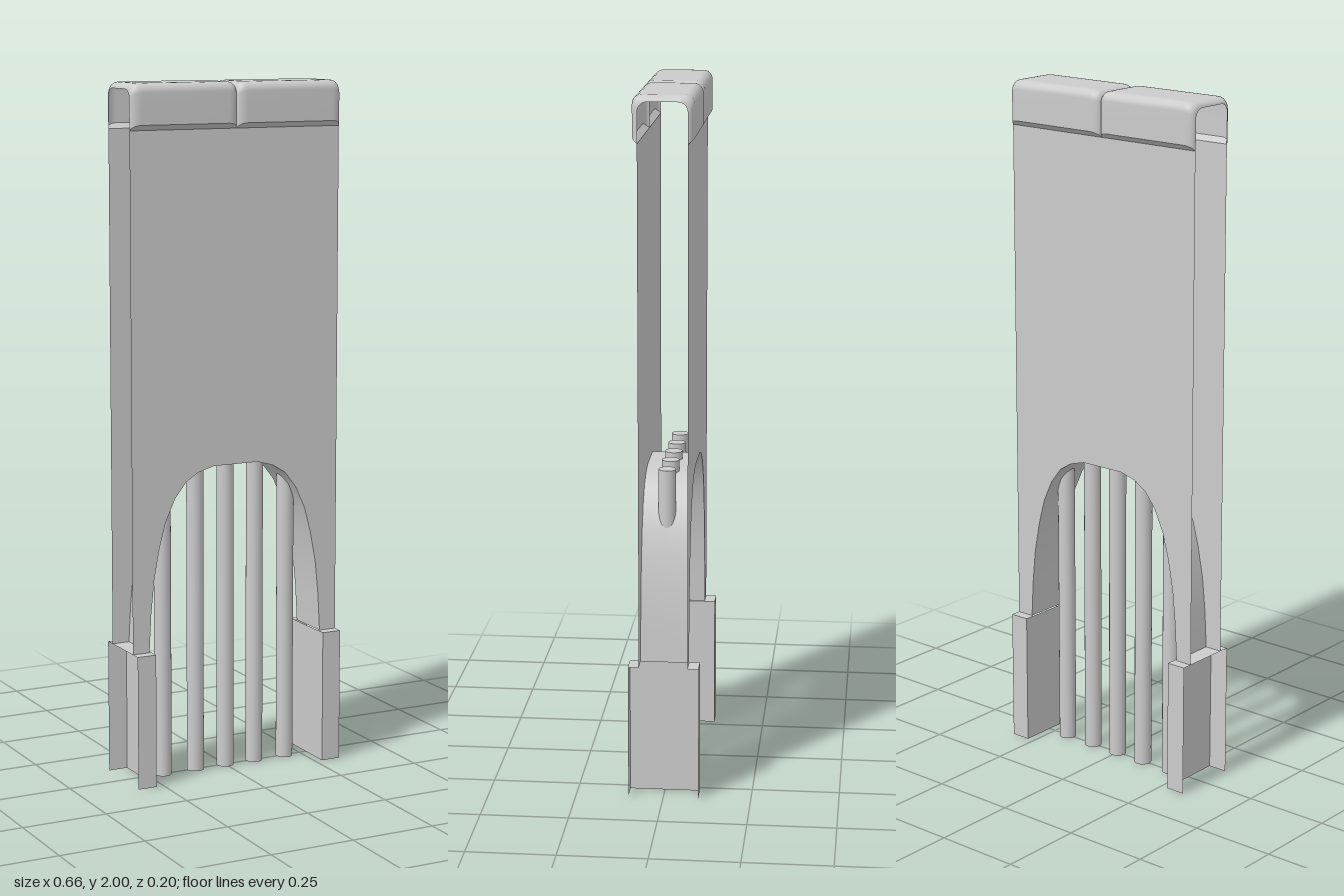
import * as THREE from 'three';

const material = new THREE.MeshStandardMaterial({ color: 0xcccccc, side: THREE.DoubleSide });

// Sheet stretched over equally long rows of [x, y, z] points
function loft(rows) {
  const n = rows[0].length;
  const index = [];
  for (let i = 0; i < rows.length - 1; i++) {
    for (let j = 0; j < n - 1; j++) {
      const a = i * n + j, b = a + n;
      index.push(a, b, a + 1, b, b + 1, a + 1);
    }
  }
  const geometry = new THREE.BufferGeometry();
  geometry.setAttribute('position', new THREE.Float32BufferAttribute(rows.flat(2), 3));
  geometry.setIndex(index);
  geometry.computeVertexNormals();
  return geometry;
}

export function createModel() {
  const model = new THREE.Group();
  const add = (name, geometry, parent = model) => {
    const mesh = new THREE.Mesh(geometry, material);
    mesh.name = name;
    parent.add(mesh);
    return mesh;
  };

  const W = 0.33, D = 0.069, legTop = 0.39, legIn = 0.272, legD = 0.1, panelTop = 1.87;

  // Arch outline, from the +x foot over the crown to the -x foot
  const half = [[0.278, legTop], [0.272, 0.5], [0.262, 0.6], [0.245, 0.69], [0.225, 0.765],
    [0.195, 0.83], [0.16, 0.875], [0.12, 0.9], [0.07, 0.914]];
  const arch = [...half, ...half.map(([x, y]) => [-x, y]).reverse()];

  // Front and back panels, cut out by the arch
  const outline = [[-W, legTop], [-W, panelTop], [W, panelTop], [W, legTop], ...arch];
  const panelShape = new THREE.Shape(outline.map(([x, y]) => new THREE.Vector2(x, y)));
  for (const s of [1, -1]) {
    const panel = add(s > 0 ? 'frontPanel' : 'backPanel', new THREE.ShapeGeometry(panelShape));
    if (s < 0) panel.rotation.y = Math.PI;
    panel.position.z = s * D;
  }

  // Lining of the arch between the panels
  add('archLining', loft([D, -D].map(z => arch.map(([x, y]) => [x, y, z]))));

  // Legs: open channels with a ledge where they meet the panels
  for (const s of [1, -1]) {
    const leg = new THREE.Group();
    leg.name = s > 0 ? 'leftLeg' : 'rightLeg';
    model.add(leg);
    const width = W - legIn, x = s * (W + legIn) / 2;
    const wall = add('innerWall', new THREE.PlaneGeometry(legD * 2, legTop), leg);
    wall.rotation.y = -s * Math.PI / 2;
    wall.position.set(s * legIn, legTop / 2, 0);
    for (const f of [1, -1]) {
      const plate = add('legPlate', new THREE.PlaneGeometry(width, legTop), leg);
      if (f < 0) plate.rotation.y = Math.PI;
      plate.position.set(x, legTop / 2, f * legD);
      const ledge = add('legLedge', new THREE.PlaneGeometry(width, legD - D), leg);
      ledge.rotation.x = -Math.PI / 2;
      ledge.position.set(x, legTop, f * (legD + D) / 2);
    }
    // The right leg is also closed between the panels
    if (s < 0) {
      const cover = add('legCover', new THREE.PlaneGeometry(width, D * 2), leg);
      cover.rotation.x = -Math.PI / 2;
      cover.position.set(x, legTop, 0);
    }
  }

  // Round bars reaching up into the arch
  for (const x of [-0.203, -0.098, 0, 0.096, 0.198]) {
    add('bar', new THREE.CylinderGeometry(0.025, 0.025, 0.937, 20)).position.set(x, 0.4685, 0);
  }

  // Cap: two padded U-shaped sleeves that pinch in at both ends
  const bulge = 0.017, r = 0.026, round = 0.03, steps = 5;
  const stations = [];
  for (let i = 0; i <= steps; i++) {
    const a = (i / steps) * Math.PI / 2;
    stations.push([round * (1 - Math.cos(a)), bulge * (1 - Math.sin(a))]);
  }
  const ends = [...stations, ...stations.map(([x, d]) => [W - x, d]).reverse()];
  const lowerEdge = d => panelTop + 0.015 * (1 - d / bulge);

  const section = (x, d) => {
    const z = 0.085 - d, top = 2 - d, side = [];
    side.push([x, lowerEdge(d), z], [x, 1.93, z]);
    for (let i = 0; i <= 5; i++) {
      const a = (i / 5) * Math.PI / 2;
      side.push([x, top - r + r * Math.sin(a), z - r + r * Math.cos(a)]);
    }
    return [...side, ...side.map(([px, y, pz]) => [px, y, -pz]).reverse()];
  };

  for (const s of [1, -1]) {
    const cap = new THREE.Group();
    cap.name = s > 0 ? 'leftCap' : 'rightCap';
    cap.position.x = s > 0 ? 0 : -W;
    model.add(cap);
    add('capSleeve', loft(ends.map(([x, d]) => section(x, d)).reverse()), cap);
    // Slanted lip joining the sleeve to the panel
    for (const f of [1, -1]) {
      const rows = ends.map(([x, d]) => [[x, panelTop, f * D], [x, lowerEdge(d), f * (0.085 - d)]]);
      add('capLip', loft(f > 0 ? rows : rows.reverse()), cap);
    }
  }

  return model;
}
